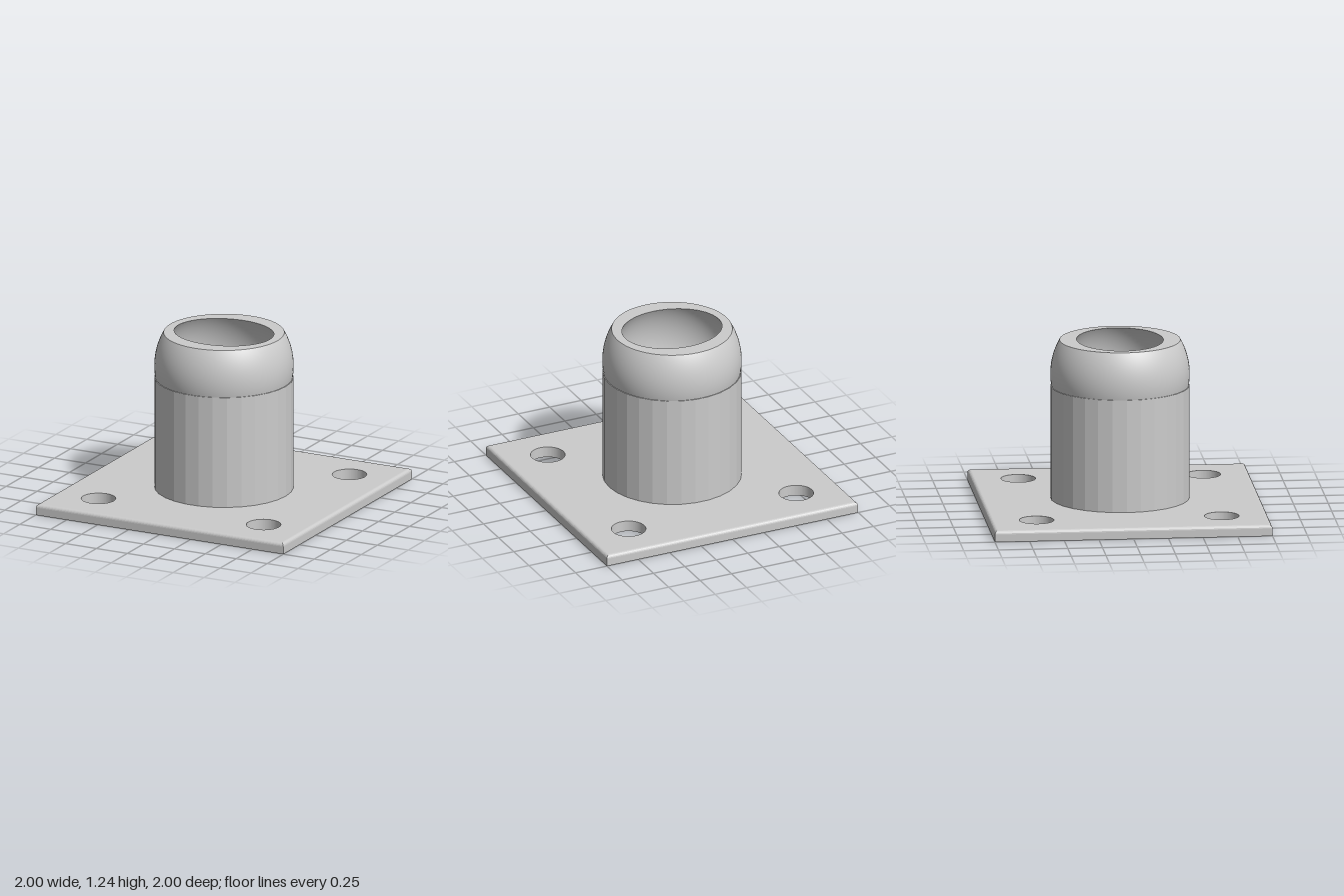
import * as THREE from 'three';

const material = new THREE.MeshStandardMaterial({ color: 0xcccccc });
const flat = new THREE.MeshStandardMaterial({ color: 0xcccccc, flatShading: true });
const doubleSided = new THREE.MeshStandardMaterial({ color: 0xcccccc, side: THREE.DoubleSide });

const PLATE = 0.08, BEVEL = 0.025;        // plate thickness, rounded upper edge
const POST_R = 0.5, POST_TOP = 0.905;
const BALL_Y = 0.99, RIM_Y = 1.24;        // ball centre, cut-off height
const BOWL_R = 0.446, BOWL_Z = 0.375;     // socket radius in x/y and in z

export function createModel() {
  const group = new THREE.Group();
  const add = (name, geometry, mat = material) => {
    const mesh = new THREE.Mesh(geometry, mat);
    mesh.name = name;
    group.add(mesh);
    return mesh;
  };

  // Base plate with four bolt holes
  const h = 1 - BEVEL;
  const square = new THREE.Shape([[-h, -h], [h, -h], [h, h], [-h, h]].map(p => new THREE.Vector2(...p)));
  for (const x of [-1, 1]) for (const y of [-1, 1]) {
    square.holes.push(new THREE.Path().absarc(x * 0.667, y * 0.667, 0.124, 0, Math.PI * 2, true));
  }
  const plate = new THREE.ExtrudeGeometry(square, { depth: PLATE, bevelEnabled: false, curveSegments: 40 });
  add('basePlate', plate.rotateX(-Math.PI / 2));

  // Plate border: four mitred sides with a rounded upper edge
  const border = [[h, 0], [1, 0]];
  for (let i = 0; i <= 5; i++) {
    const a = i / 5 * Math.PI / 2;
    border.push([h + BEVEL * Math.cos(a), PLATE - BEVEL + BEVEL * Math.sin(a)]);
  }
  const borderPoints = border.map(([r, y]) => new THREE.Vector2(r * Math.SQRT2, y));
  add('plateBorder', new THREE.LatheGeometry(borderPoints, 4).rotateY(Math.PI / 4), flat);

  // Faceted post
  const postHeight = POST_TOP - PLATE;
  const post = new THREE.CylinderGeometry(POST_R, POST_R, postHeight, 30, 1, true);
  add('post', post.rotateY(Math.PI / 2).translate(0, PLATE + postHeight / 2, 0), flat);

  // Narrow step between post and ball
  const step = new THREE.RingGeometry(0.48, POST_R, 30);
  add('postStep', step.rotateX(-Math.PI / 2).translate(0, POST_TOP, 0));

  // Truncated ball head
  const thetaTop = Math.acos((RIM_Y - BALL_Y) / POST_R);
  const thetaEnd = Math.acos((POST_TOP - BALL_Y) / POST_R);
  const head = new THREE.SphereGeometry(POST_R, 80, 20, 0, Math.PI * 2, thetaTop, thetaEnd - thetaTop);
  add('ballHead', head.translate(0, BALL_Y, 0));

  // Flat rim with an oval opening
  const cut = RIM_Y - BALL_Y;
  const openX = Math.sqrt(BOWL_R ** 2 - cut ** 2);
  const openZ = openX * BOWL_Z / BOWL_R;
  const rim = new THREE.Shape().absarc(0, 0, POST_R * Math.sin(thetaTop), 0, Math.PI * 2);
  rim.holes.push(new THREE.Path().absellipse(0, 0, openX, openZ, 0, Math.PI * 2, true));
  add('rim', new THREE.ShapeGeometry(rim, 80).rotateX(-Math.PI / 2).translate(0, RIM_Y, 0));

  // Spheroid socket, narrower from front to back
  const start = Math.acos(cut / BOWL_R);
  const bowl = new THREE.SphereGeometry(BOWL_R, 80, 40, 0, Math.PI * 2, start, Math.PI - start);
  add('socket', bowl.scale(1, 1, BOWL_Z / BOWL_R).translate(0, BALL_Y, 0), doubleSided);

  return group;
}
